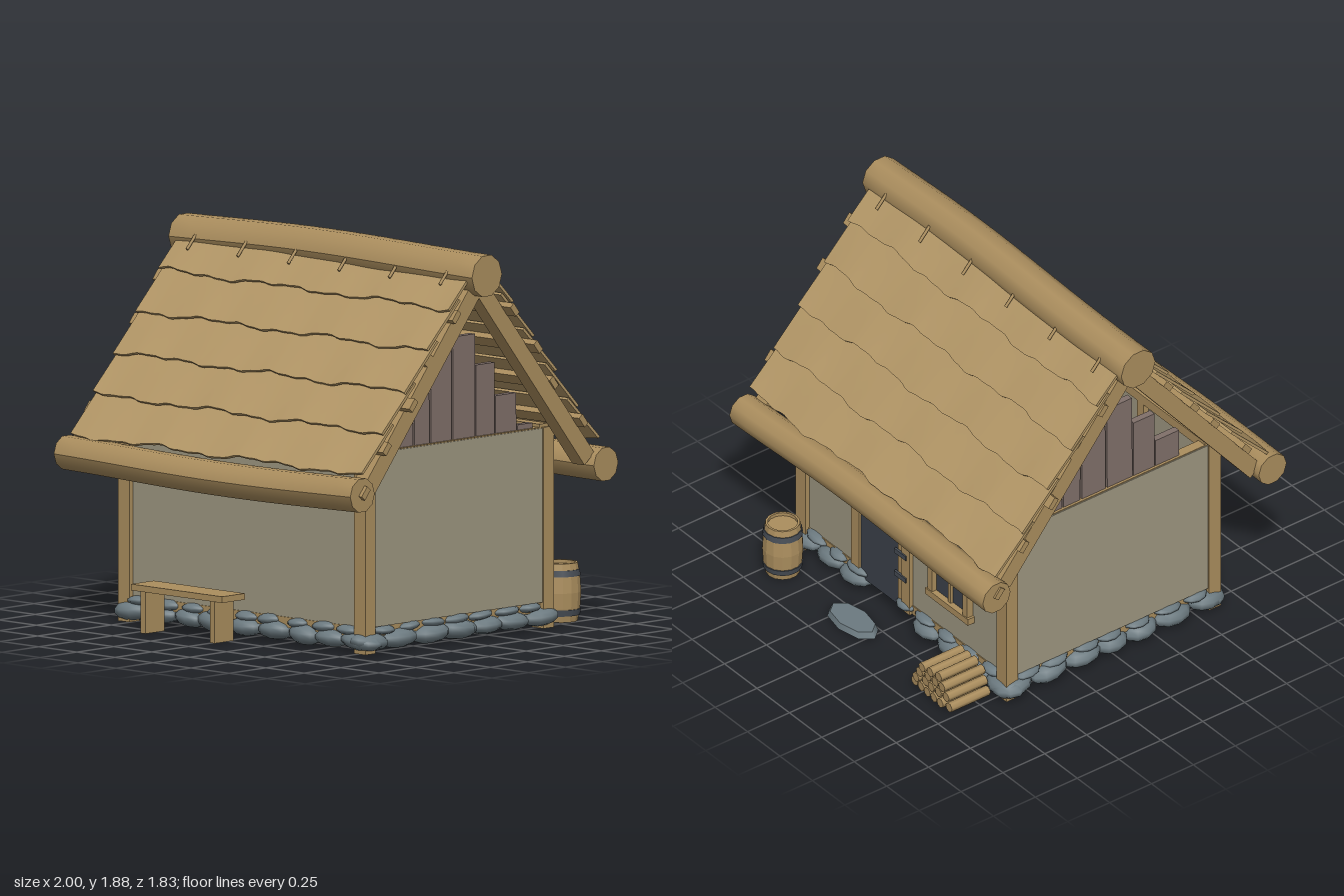
import * as THREE from 'three';

const mat = (name, color, opts = {}) => {
  const m = new THREE.MeshStandardMaterial({ color, ...opts });
  m.name = name;
  return m;
};

export function createModel() {
  const M = {
    straw: mat('straw', 0xb29666, { side: THREE.DoubleSide }),
    wood: mat('wood', 0xab8e5e),
    plaster: mat('plaster', 0x9e9781),
    stone: mat('stone', 0x6c7a80),
    plank: mat('weathered plank', 0x80706a),
    iron: mat('iron', 0x474d55),
    dark: mat('dark panel', 0x3c424b),
  };
  const house = new THREE.Group();
  house.name = 'cottage';

  let seed = 7;
  const rnd = () => (seed = (seed * 16807) % 2147483647) / 2147483647;

  const add = (name, geo, material, x = 0, y = 0, z = 0, parent = house) => {
    const m = new THREE.Mesh(geo, material);
    m.name = name;
    m.position.set(x, y, z);
    parent.add(m);
    return m;
  };
  const box = (name, material, w, h, d, x, y, z, parent) =>
    add(name, new THREE.BoxGeometry(w, h, d), material, x, y, z, parent);
  const group = (name, parent = house) => {
    const g = new THREE.Group();
    g.name = name;
    parent.add(g);
    return g;
  };

  // Walls: hollow, open below, with corner posts, sills and top plates
  const walls = group('walls');
  for (const s of [-1, 1]) {
    box('longWall', M.plaster, 1.52, 0.83, 0.03, 0, 0.545, s * 0.6, walls);
    box('gableWall', M.plaster, 0.04, 0.83, 1.16, s * 0.785, 0.545, 0, walls);
    box('longSill', M.wood, 1.56, 0.05, 0.06, 0, 0.105, s * 0.59, walls);
    box('gableSill', M.wood, 0.05, 0.05, 1.16, s * 0.765, 0.105, 0, walls);
    box('topPlate', M.wood, 1.6, 0.05, 0.06, 0, 0.955, s * 0.585, walls);
    box('gablePlate', M.wood, 0.05, 0.03, 1.16, s * 0.775, 0.95, 0, walls);
    for (const x of [-0.775, 0.775]) box('cornerPost', M.wood, 0.075, 0.96, 0.07, x, 0.485, s * 0.605, walls);
    for (const x of [-0.3, 0.3]) box('innerPost', M.wood, 0.05, 0.86, 0.03, x * s, 0.54, s * 0.57, walls);
    box('innerGablePost', M.wood, 0.03, 0.86, 0.05, s * 0.75, 0.54, 0, walls);
    const brace = box('innerBrace', M.wood, 0.03, 0.95, 0.04, s * 0.75, 0.53, 0.28, walls);
    brace.rotation.x = -0.5;
  }

  // Stepped vertical planks in both gables
  const planks = [[0.36, 0.14, 1.1], [0.23, 0.1, 1.28], [0.1, 0.14, 1.4], [-0.055, 0.15, 1.455],
    [-0.2, 0.125, 1.305], [-0.34, 0.14, 1.145], [-0.47, 0.1, 0.99]];
  for (const s of [-1, 1]) {
    const g = group('gablePlanks');
    for (const [z, w, top] of planks) {
      const h = (s > 0 ? top : top - 0.035) - 0.93;
      const p = box('plank', M.plank, 0.035, h, w, s * 0.77, 0.93 + h / 2, z * s, g);
      p.rotation.x = (rnd() - 0.5) * 0.025;
    }
  }

  // Foundation stones: a large lower course and a flatter upper course
  const stones = group('foundationStones');
  const stoneGeo = new THREE.SphereGeometry(1, 10, 7);
  const stone = (x, y, z, rx, ry, rz) => {
    const m = add('stone', stoneGeo, M.stone, x, y, z, stones);
    m.scale.set(rx, ry, rz);
    m.rotation.set((rnd() - 0.5) * 0.2, (rnd() - 0.5) * 0.3, (rnd() - 0.5) * 0.16);
  };
  const course = (n, half, y, len, ry, deep, along) => {
    for (let i = 0; i < n; i++) {
      const t = -half + (2 * half * i) / (n - 1) + (rnd() - 0.5) * 0.03;
      const l = len * (0.9 + rnd() * 0.25);
      const h = ry * (0.9 + rnd() * 0.2);
      along(t, y, l, h, deep);
    }
  };
  for (const s of [-1, 1]) {
    const long = (t, y, l, h, d) => {
      if (s < 0 && t > 0 && t < 0.34) return;
      stone(t, y, s * 0.6, l, h, d);
    };
    const short = (t, y, l, h, d) => stone(s * 0.775, y, t, d, h, l);
    course(9, 0.75, 0.06, 0.105, 0.047, 0.078, long);
    course(9, 0.68, 0.11, 0.075, 0.026, 0.06, long);
    course(7, 0.57, 0.06, 0.105, 0.047, 0.08, short);
    course(7, 0.5, 0.11, 0.075, 0.026, 0.06, short);
  }

  // Gently wavy round logs for ridge and eaves
  const log = (name, r, len, x, y, z, phase) => {
    const g = new THREE.CylinderGeometry(r, r, len, 10, 16).rotateZ(Math.PI / 2);
    const p = g.attributes.position;
    for (let i = 0; i < p.count; i++) {
      const u = p.getX(i);
      p.setY(i, p.getY(i) + 0.012 * Math.cos(u * 2.3 + phase));
      p.setZ(i, p.getZ(i) + 0.008 * Math.sin(u * 3.4 + phase));
    }
    g.computeVertexNormals();
    return add(name, g, M.wood, x, y, z);
  };
  log('ridgeLog', 0.102, 1.99, -0.005, 1.772, 0, 0);
  log('frontEaveLog', 0.083, 1.95, -0.005, 0.8, 0.825, 2.6);
  log('backEaveLog', 0.083, 1.95, -0.005, 0.79, -0.825, 0.6);

  // One thatch row: thin slab whose lower edge is ragged and lifted
  const thatchRow = (k) => {
    const len = 0.31;
    const g = new THREE.BoxGeometry(1.91, 0.014, len, 64, 1, 4);
    const p = g.attributes.position;
    for (let i = 0; i < p.count; i++) {
      const x = p.getX(i), z = p.getZ(i), t = z / len + 0.5;
      const rag = Math.sin(x * 9 + k * 2.1) * 0.009 + Math.sin(x * 23 + k * 5) * 0.006 + Math.sin(x * 51 + k) * 0.003;
      p.setZ(i, z + rag * t);
      p.setY(i, p.getY(i) + 0.03 * (t - 0.5) + 0.004 * Math.sin(x * 13 + k * 3) * t);
    }
    g.computeVertexNormals();
    return g;
  };

  // Two roof slopes with thatch, battens, rafters and ridge pins
  const pitch = Math.atan(1.216);
  const battenEnds = [[-1, 0.97], [-1, 0.94], [-0.95, 0.995], [-0.99, 0.975], [-0.95, 0.99]];
  for (const side of [0, 1]) {
    const turn = group(side ? 'backRoof' : 'frontRoof');
    turn.rotation.y = side * Math.PI;
    const slope = group('slope', turn);
    slope.position.y = 1.72;
    slope.rotation.x = pitch;
    for (let i = 0; i < 5; i++) {
      const edge = 0.21 + i * 0.236;
      add('thatchRow', thatchRow(i + side * 5), M.straw, side ? 0.005 : -0.005, 0.086, edge - 0.155, slope);
      const [a, b] = battenEnds[i];
      box('batten', M.wood, b - a, 0.03, 0.06, (a + b) / 2, 0.055, 0.22 + i * 0.25, slope);
    }
    for (const x of [-0.9, 0.9]) box('rafter', M.wood, 0.08, 0.085, 1.16, x, 0, 0.6, slope);
    for (let i = 0; i < 6; i++) {
      const pin = add('ridgePin', new THREE.CylinderGeometry(0.008, 0.008, 0.09, 6), M.wood,
        (side ? -1 : 1) * (-0.835 + i * 0.332), 1.755, 0.118, turn);
      pin.rotation.x = -0.75;
    }
  }

  // Door with frame and hinges
  const door = group('door');
  box('doorPanel', M.dark, 0.34, 0.74, 0.008, 0.17, 0.45, -0.62, door);
  for (const x of [0.36, -0.03]) box('doorPost', M.wood, 0.06, 0.87, 0.05, x, 0.515, -0.612, door);
  box('doorLintel', M.wood, 0.45, 0.06, 0.05, 0.165, 0.84, -0.612, door);
  box('doorStile', M.wood, 0.04, 0.74, 0.02, 0.02, 0.45, -0.618, door);
  for (const y of [0.27, 0.4, 0.53, 0.66]) box('hinge', M.iron, 0.09, 0.025, 0.012, 0.005, y, -0.638, door);

  // Window with frame and bars
  const win = group('window');
  win.position.set(-0.37, 0.45, -0.62);
  box('pane', M.dark, 0.24, 0.24, 0.008, 0, 0, 0, win);
  for (const s of [-1, 1]) {
    box('frameSide', M.wood, 0.035, 0.3, 0.05, s * 0.135, 0, -0.005, win);
    box('frameRail', M.wood, 0.33, 0.035, 0.055, 0, s * 0.135, -0.008, win);
  }
  box('mullion', M.wood, 0.022, 0.25, 0.03, 0, 0, -0.004, win);

  // Bench
  const bench = group('bench');
  box('seat', M.wood, 0.6, 0.03, 0.155, -0.205, 0.22, 0.793, bench);
  for (const x of [-0.435, 0.02]) box('benchLeg', M.wood, 0.03, 0.2, 0.13, x, 0.105, 0.795, bench);

  // Barrel with two hoops
  const barrel = group('barrel');
  barrel.position.set(0.68, 0, -0.82);
  const staves = [[0, 0.005], [0.082, 0.005], [0.094, 0.07], [0.099, 0.145], [0.094, 0.22], [0.083, 0.285],
    [0.072, 0.285], [0.072, 0.268], [0, 0.268]].map(([r, y]) => new THREE.Vector2(r, y));
  const staveGeo = new THREE.LatheGeometry(staves, 14).toNonIndexed();
  staveGeo.computeVertexNormals();
  add('staves', staveGeo, M.wood, 0, 0, 0, barrel);
  for (const [y, a, b] of [[0.05, 0.099, 0.094], [0.238, 0.093, 0.098]])
    add('hoop', new THREE.CylinderGeometry(a - 0.001, b - 0.001, 0.03, 14), M.iron, 0, y, 0, barrel);

  // Flat doorstep stone
  const step = add('doorstep', new THREE.CylinderGeometry(0.15, 0.17, 0.03, 8), M.stone, 0.14, 0.02, -0.82);
  step.scale.z = 0.5;

  // Stacked firewood
  const pile = group('firewood');
  for (let row = 0; row < 4; row++)
    for (let i = 0; i < 6 - row; i++) {
      const l = add('firewoodLog', new THREE.CylinderGeometry(0.025, 0.025, 0.22 + rnd() * 0.03, 7), M.wood,
        -0.57 + (i - (5 - row) / 2) * 0.054, 0.027 + row * 0.044, -0.785 + (rnd() - 0.5) * 0.03, pile);
      l.rotation.x = Math.PI / 2;
    }
  return house;
}
